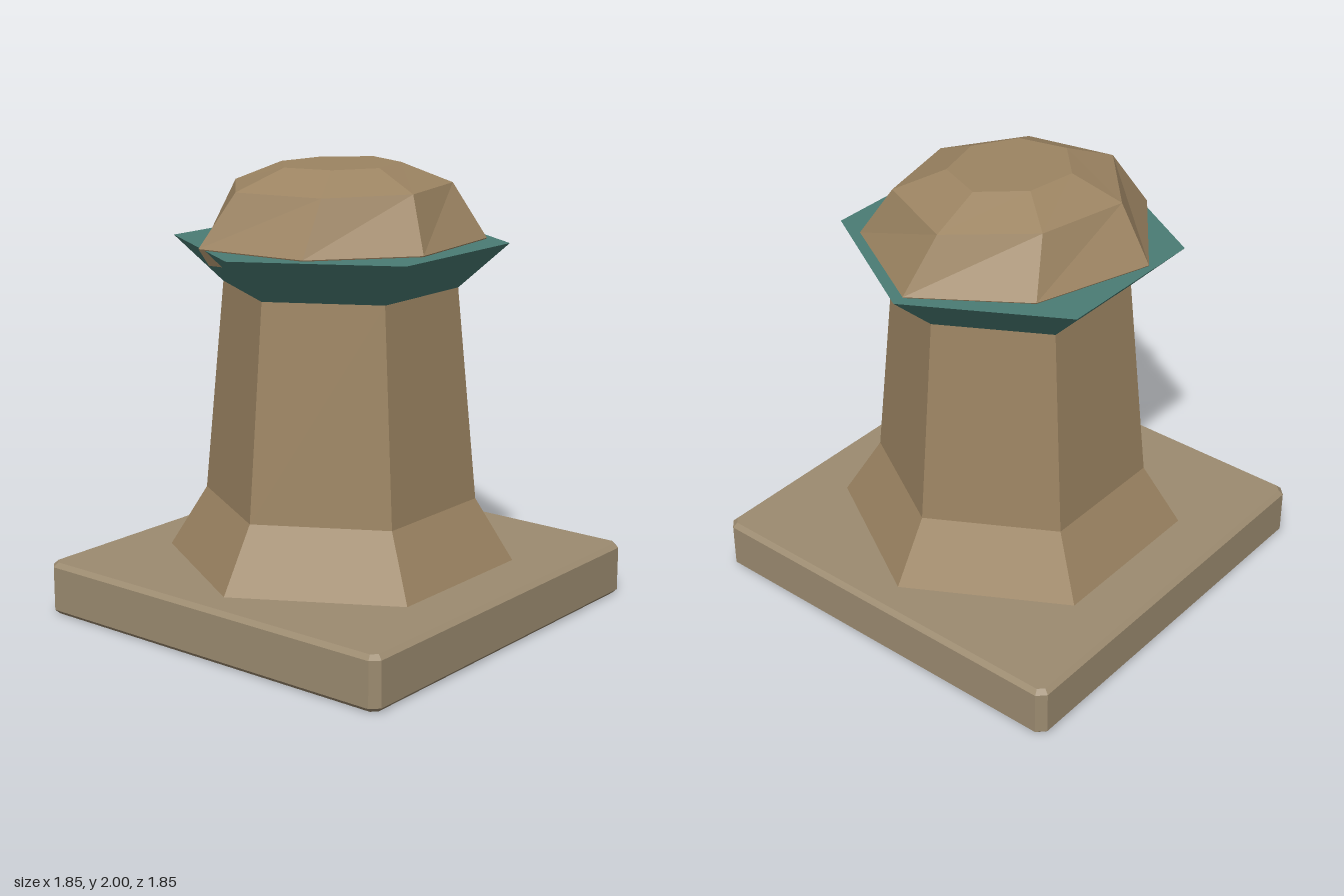
import * as THREE from 'three';

const material = (color) => new THREE.MeshStandardMaterial({ color, flatShading: true });

function addMesh(group, name, geometry, mat) {
  const mesh = new THREE.Mesh(geometry, mat);
  mesh.name = name;
  group.add(mesh);
  return mesh;
}

// Six-sided tapered section with corners on the x axis
function hexSection(rBottom, rTop, y0, y1) {
  const g = new THREE.CylinderGeometry(rTop, rBottom, y1 - y0, 6, 1, false, Math.PI / 2);
  return g.translate(0, (y0 + y1) / 2, 0);
}

// Square slab with cut corners and chamfered rims
function plinthGeometry() {
  const h = 0.905, c = 0.88, bevel = 0.02;
  const shape = new THREE.Shape([
    [h, -c], [h, c], [c, h], [-c, h], [-h, c], [-h, -c], [-c, -h], [c, -h],
  ].map(([x, y]) => new THREE.Vector2(x, y)));
  const g = new THREE.ExtrudeGeometry(shape, {
    depth: 0.2, bevelEnabled: true, bevelSize: bevel, bevelThickness: bevel, bevelSegments: 1,
  });
  return g.rotateX(-Math.PI / 2).translate(0, bevel, 0);
}

// Rough stone: irregular seven-sided rings joined from bottom to top
function stoneGeometry() {
  const rim = [[-0.15, -0.615], [0.38, -0.445], [0.685, 0], [0.4, 0.5], [-0.15, 0.565], [-0.545, 0.245], [-0.605, -0.275]];
  const shoulder = [[-0.16, -0.46], [0.25, -0.37], [0.525, -0.05], [0.35, 0.35], [-0.065, 0.445], [-0.4, 0.225], [-0.485, -0.17]];
  const crown = [[-0.1, -0.245], [0.13, -0.21], [0.285, -0.035], [0.2, 0.18], [-0.03, 0.24], [-0.215, 0.13], [-0.27, -0.085]];
  const under = rim.map(([x, z]) => [x * 0.93, z * 0.93]);
  const rings = [[under, 1.6], [rim, 1.675], [shoulder, 1.91], [crown, 2]];
  const n = rim.length;
  const positions = rings.flatMap(([ring, y]) => ring.flatMap(([x, z]) => [x, y, z]));
  positions.push(0, 1.6, 0, 0, 2, 0);
  const bottom = rings.length * n, top = bottom + 1;
  const index = [];
  for (let i = 0; i < n; i++) {
    const j = (i + 1) % n;
    for (let r = 0; r < rings.length - 1; r++) {
      const a = r * n + i, b = r * n + j;
      index.push(a, a + n, b, b, a + n, b + n);
    }
    index.push(bottom, i, j);
    index.push(top, 3 * n + j, 3 * n + i);
  }
  const g = new THREE.BufferGeometry();
  g.setAttribute('position', new THREE.Float32BufferAttribute(positions, 3));
  g.setIndex(index);
  const flat = g.toNonIndexed();
  flat.computeVertexNormals();
  return flat;
}

export function createModel() {
  const group = new THREE.Group();
  group.name = 'stonePost';
  const stone = material(0x9c8462);
  const slab = material(0x9c8b70);
  const teal = material(0x4a7c74);

  addMesh(group, 'plinth', plinthGeometry(), slab);
  addMesh(group, 'flaredFoot', hexSection(0.78, 0.61, 0.24, 0.52), stone);
  addMesh(group, 'shaft', hexSection(0.61, 0.52, 0.52, 1.47), stone);
  addMesh(group, 'collar', hexSection(0.52, 0.74, 1.47, 1.67), teal);
  addMesh(group, 'capStone', stoneGeometry(), stone);
  return group;
}
